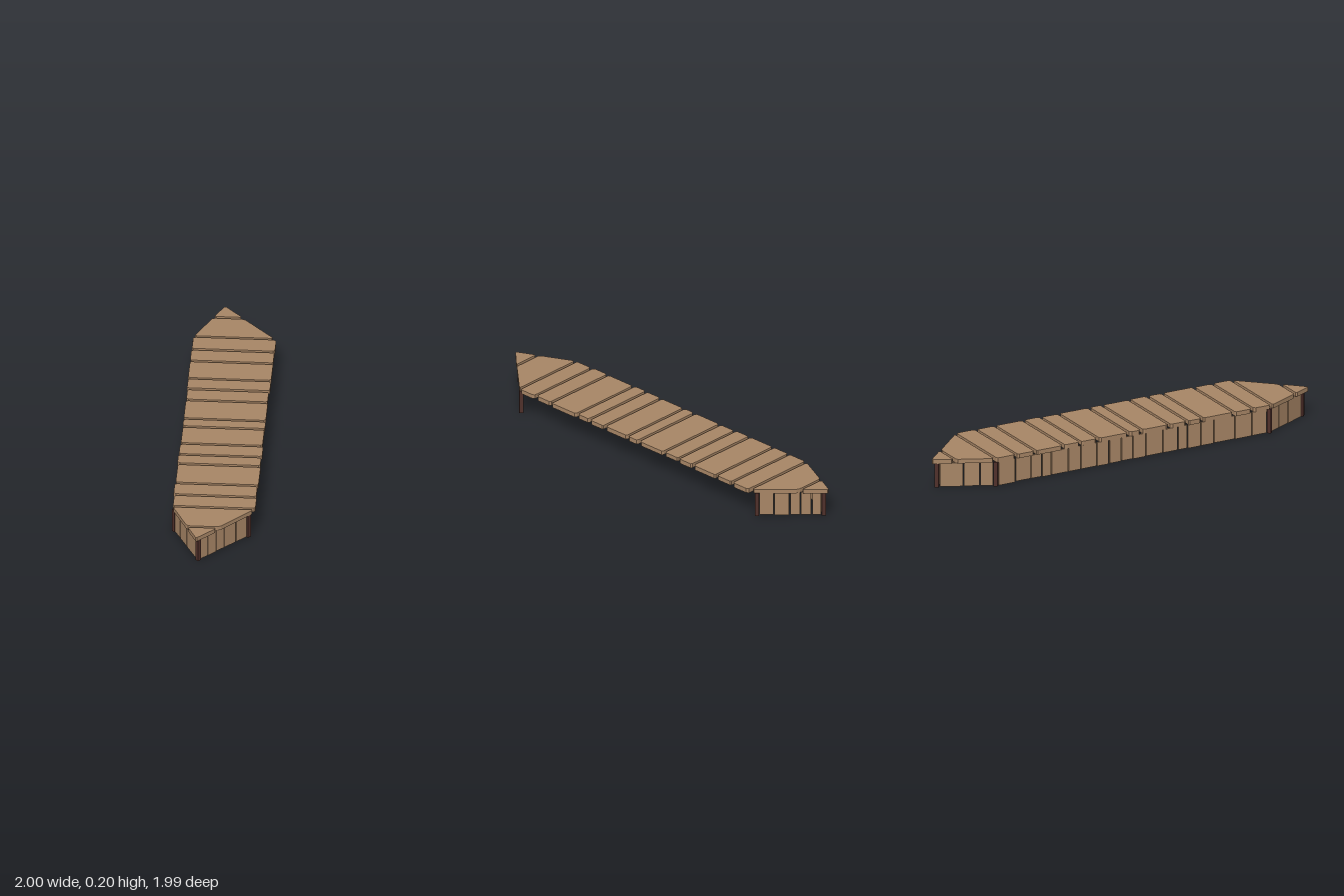
import * as THREE from 'three';

const wood = new THREE.MeshStandardMaterial({ color: 0xa88666, flatShading: true });
const darkWood = new THREE.MeshStandardMaterial({ color: 0x50302a, flatShading: true });

const DECK_BOTTOM = 0.166, DECK_TOP = 0.196;
const SHOULDER = 1.46, TIP = 1.995;   // distances along the diagonal, u = x - z
const EDGE_LOW = -0.262, EDGE_HIGH = 0.5; // limits across the deck, v = x + z

// Small seeded generator in -1..1 for hand-cut irregularity
function seeded(seed) {
  return () => {
    seed = (seed * 16807) % 2147483647;
    return (seed / 2147483647) * 2 - 1;
  };
}

// Deck outline: the straight sides taper to a point beyond each shoulder
function deckEdge(u, limit) {
  const t = Math.max(0, (Math.abs(u) - SHOULDER) / (TIP - SHOULDER));
  return THREE.MathUtils.lerp(limit, -0.005, t);
}

// Deck plank between two cuts, with clipped corners
function deckPlank(u0, u1, rand) {
  const low = rand() * 0.006, high = rand() * 0.006;
  const raw = [
    [u0, deckEdge(u0, EDGE_LOW) + low], [u1, deckEdge(u1, EDGE_LOW) + low],
    [u1, deckEdge(u1, EDGE_HIGH) + high], [u0, deckEdge(u0, EDGE_HIGH) + high],
  ].map(([u, v]) => new THREE.Vector2((u + v) / 2, (u - v) / 2));
  const corners = raw.filter((p, i) => p.distanceTo(raw[(i + 1) % 4]) > 0.02);
  const points = [];
  corners.forEach((p, i) => {
    const n = corners.length;
    for (const q of [corners[(i + n - 1) % n], corners[(i + 1) % n]]) {
      const cut = 0.011 + 0.005 * rand();
      points.push(p.clone().add(q.clone().sub(p).setLength(cut)));
    }
  });
  const bottom = DECK_BOTTOM + 0.002 * rand();
  const geometry = new THREE.ExtrudeGeometry(new THREE.Shape(points), {
    depth: DECK_TOP + 0.001 * rand() - bottom, bevelEnabled: false,
  });
  geometry.rotateX(-Math.PI / 2);
  geometry.translate(0, bottom, 0);
  const plank = new THREE.Mesh(geometry, wood);
  plank.name = 'deckPlank';
  return plank;
}

// Skirt wall of upright boards from a to b; cuts are fractions of its length
function skirtWall(name, a, b, cuts, rand) {
  const wall = new THREE.Group();
  wall.name = name;
  const [dx, dz] = [b[0] - a[0], b[1] - a[1]];
  const length = Math.hypot(dx, dz);
  for (let i = 0; i < cuts.length - 1; i++) {
    const base = 0.004 + 0.003 * rand();
    const board = new THREE.Mesh(
      new THREE.BoxGeometry((cuts[i + 1] - cuts[i]) * length - 0.008, DECK_BOTTOM - base, 0.012), wood);
    const mid = (cuts[i] + cuts[i + 1]) / 2;
    board.position.set(a[0] + dx * mid, (DECK_BOTTOM + base) / 2, a[1] + dz * mid);
    board.rotation.y = Math.atan2(-dz, dx);
    board.name = 'skirtBoard';
    wall.add(board);
  }
  return wall;
}

export function createModel() {
  const model = new THREE.Group();
  model.name = 'boardwalk';
  const rand = seeded(4217);

  // Deck planks separated by narrow gaps
  const deck = new THREE.Group();
  deck.name = 'deck';
  const cuts = [-TIP, -1.8, -1.46, -1.26, -1.06, -0.73, -0.57, -0.38, -0.09, 0.05,
    0.37, 0.56, 0.74, 1.04, 1.24, 1.46, 1.8, TIP];
  const last = cuts.length - 1;
  for (let i = 0; i < last; i++) {
    deck.add(deckPlank(cuts[i] + (i > 0 ? 0.014 : 0), cuts[i + 1] - (i < last - 1 ? 0.014 : 0), rand));
  }
  model.add(deck);

  // Posts under the six corners
  const posts = {
    frontTip: [-0.962, 0.967], frontInner: [-0.53, 0.967], frontShoulder: [-0.845, 0.602],
    backTip: [0.967, -0.966], backInner: [0.967, -0.53], backShoulder: [0.602, -0.845],
  };
  for (const [name, [x, z]] of Object.entries(posts)) {
    const post = new THREE.Mesh(new THREE.BoxGeometry(0.027, DECK_BOTTOM, 0.027), darkWood);
    post.position.set(x, DECK_BOTTOM / 2, z);
    post.name = name + 'Post';
    model.add(post);
  }

  // Skirt walls round both ends and along the rear long side; the other long side is open
  const endCuts = [0.03, 0.18, 0.35, 0.51, 0.745, 0.97];
  const taperCuts = [0.04, 0.45, 0.73, 0.96];
  const longCuts = [-0.83, -0.75, -0.66, -0.55, -0.48, -0.41, -0.36, -0.28, -0.19, -0.12,
    -0.06, 0.005, 0.07, 0.155, 0.22, 0.31, 0.36, 0.42, 0.5, 0.59].map((x) => (x + 0.845) / 1.447);
  model.add(
    skirtWall('frontSkirt', posts.frontTip, posts.frontInner, endCuts, rand),
    skirtWall('leftSkirt', posts.backTip, posts.backInner, endCuts, rand),
    skirtWall('frontTaperSkirt', posts.frontTip, posts.frontShoulder, taperCuts, rand),
    skirtWall('backTaperSkirt', posts.backTip, posts.backShoulder, taperCuts, rand),
    skirtWall('longSkirt', posts.frontShoulder, posts.backShoulder, longCuts, rand),
  );
  return model;
}
